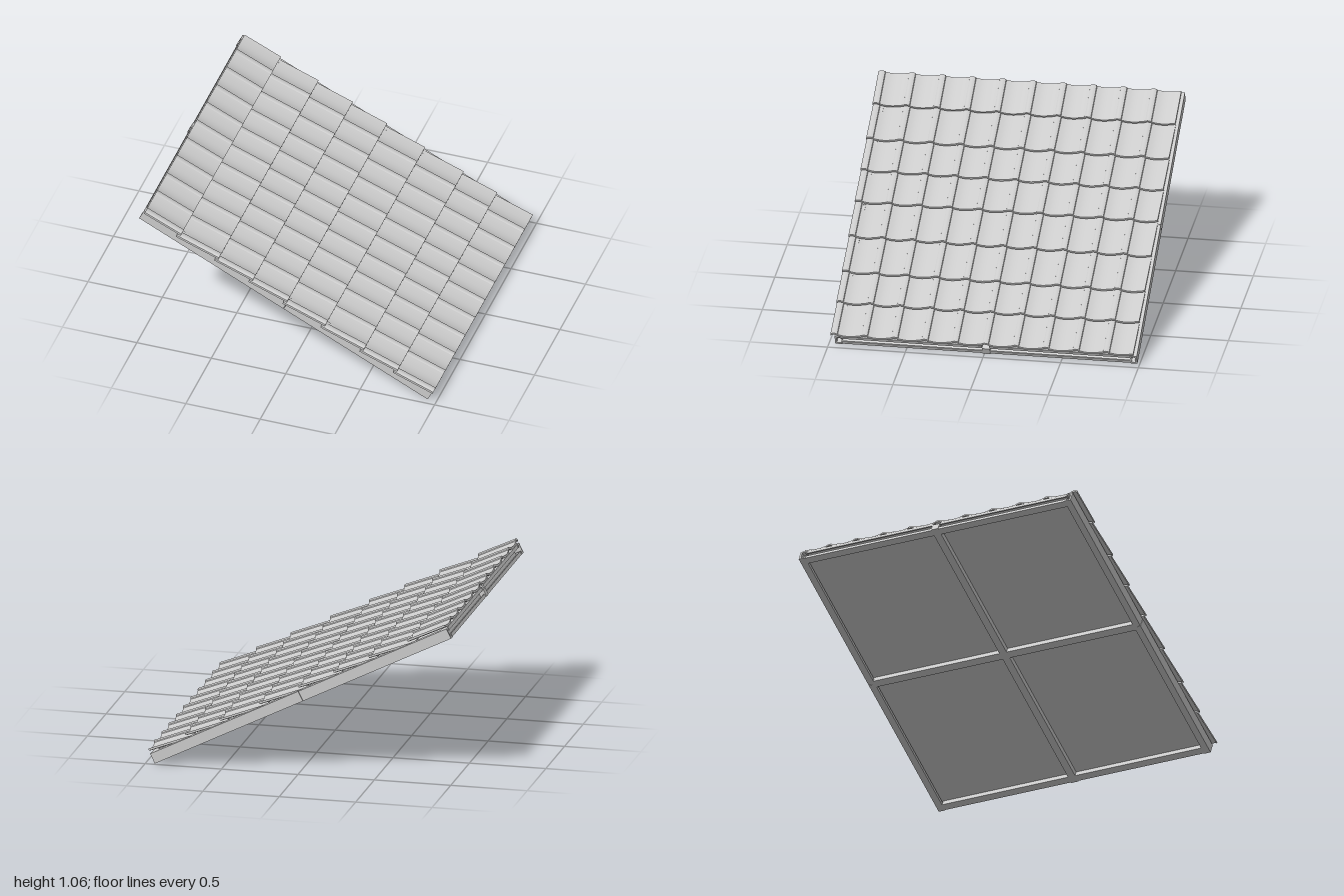
import * as THREE from 'three';
import { toCreasedNormals } from 'three/addons/utils/BufferGeometryUtils.js';

// Slope frame: x runs down the slope, y is the roof normal, z is across.
const LENGTH = 2.17, HEIGHT = 0.07, Z_BACK = -0.985, Z_FRONT = 0.96;
const Z_MID = (Z_BACK + Z_FRONT) / 2;

const material = new THREE.MeshStandardMaterial({ color: 0xcccccc, side: THREE.DoubleSide });

function addMesh(parent, name, geometry, x, y, z) {
  const mesh = new THREE.Mesh(geometry, material);
  mesh.name = name;
  mesh.position.set(x, y, z);
  parent.add(mesh);
  return mesh;
}

function polygon(points) {
  return new THREE.Shape(points.map(([x, y]) => new THREE.Vector2(x, y)));
}

// C-section beam, centred along its length, web at a = 0, open toward +a.
function channel(length, width = 0.045, t = 0.012) {
  const shape = polygon([
    [0, 0], [width, 0], [width, 0.022], [width - 0.008, 0.022], [width - 0.008, t], [t, t],
    [t, HEIGHT - t], [width - 0.008, HEIGHT - t], [width - 0.008, HEIGHT - 0.022],
    [width, HEIGHT - 0.022], [width, HEIGHT], [0, HEIGHT],
  ]);
  const g = new THREE.ExtrudeGeometry(shape, { depth: length, bevelEnabled: false });
  return g.translate(0, 0, -length / 2);
}

// Tile: shallow pan with a raised roll along its +z edge, extruded down the slope.
function tileGeometry(length) {
  const pan = new THREE.SplineCurve([
    [0, 0.015], [0.03, 0.007], [0.075, 0], [0.115, 0.001], [0.152, 0.01],
  ].map(([z, y]) => new THREE.Vector2(z, y))).getPoints(12).map((p) => [p.x, p.y]);
  const top = [...pan, [0.155, 0.016], [0.166, 0.02], [0.18, 0.021], [0.192, 0.017], [0.199, 0.01]];
  const bottom = top.map(([z, y]) => [z, y - 0.014]).reverse();
  const shape = polygon([...top, ...bottom].map(([z, y]) => [-z, y]));
  const g = new THREE.ExtrudeGeometry(shape, { depth: length, bevelEnabled: false });
  return toCreasedNormals(g.rotateY(Math.PI / 2), 0.6);
}

export function createModel() {
  const model = new THREE.Group();
  model.name = 'roofSection';
  const slope = new THREE.Group();
  slope.name = 'slope';
  slope.position.set(-1, 0.971, 0);
  slope.rotation.z = -Math.atan(0.5);
  model.add(slope);

  const frame = new THREE.Group();
  frame.name = 'frame';
  slope.add(frame);

  // Side beams, each in two lengths meeting at a seam
  const half = LENGTH / 2;
  for (const i of [0, 1]) {
    const x = half * (i + 0.5);
    addMesh(frame, 'frontSideBeam', channel(half - 0.003).rotateY(Math.PI / 2), x, 0, Z_FRONT);
    addMesh(frame, 'backSideBeam', channel(half - 0.003).rotateY(-Math.PI / 2), x, 0, Z_BACK);
  }

  // Eave and ridge beams, open outward, between the side and middle beams
  const span = (Z_FRONT - Z_BACK) / 2 - 0.07;
  for (const s of [-1, 1]) {
    const z = Z_MID + s * (span / 2 + 0.025);
    addMesh(frame, 'eaveBeam', channel(span), LENGTH - 0.05, 0, z);
    addMesh(frame, 'ridgeBeam', channel(span).rotateY(Math.PI), 0.05, 0, z);
  }

  // Crossing middle beams and the decking they carry
  addMesh(frame, 'middleRafter', new THREE.BoxGeometry(LENGTH, HEIGHT - 0.02, 0.05), half, (HEIGHT - 0.02) / 2, Z_MID);
  addMesh(frame, 'middlePurlin', new THREE.BoxGeometry(0.05, HEIGHT - 0.024, 1.9), half, (HEIGHT - 0.024) / 2, Z_MID);
  addMesh(frame, 'decking', new THREE.BoxGeometry(LENGTH - 0.09, 0.008, 1.9), half, 0.04, Z_MID);

  // Tile rows: each tilts up toward its lower edge to overlap the next
  const ends = [0.28, 0.565, 0.822, 1.08, 1.365, 1.655, 1.907, 2.174];
  const columns = 10, pitch = 0.1945, lowEdge = 0.087;
  ends.forEach((end, row) => {
    const start = row ? ends[row - 1] - 0.02 : 0.01;
    const tilt = row ? 0.095 : 0.025;
    const geometry = tileGeometry(end - start);
    const group = new THREE.Group();
    group.name = 'tileRow';
    group.position.set(start, lowEdge - Math.sin(tilt) * (end - start), 0);
    group.rotation.z = tilt;
    slope.add(group);
    for (let c = 0; c < columns; c++) {
      addMesh(group, 'tile', geometry, 0, 0, -0.965 + c * pitch);
    }
  });
  return model;
}
